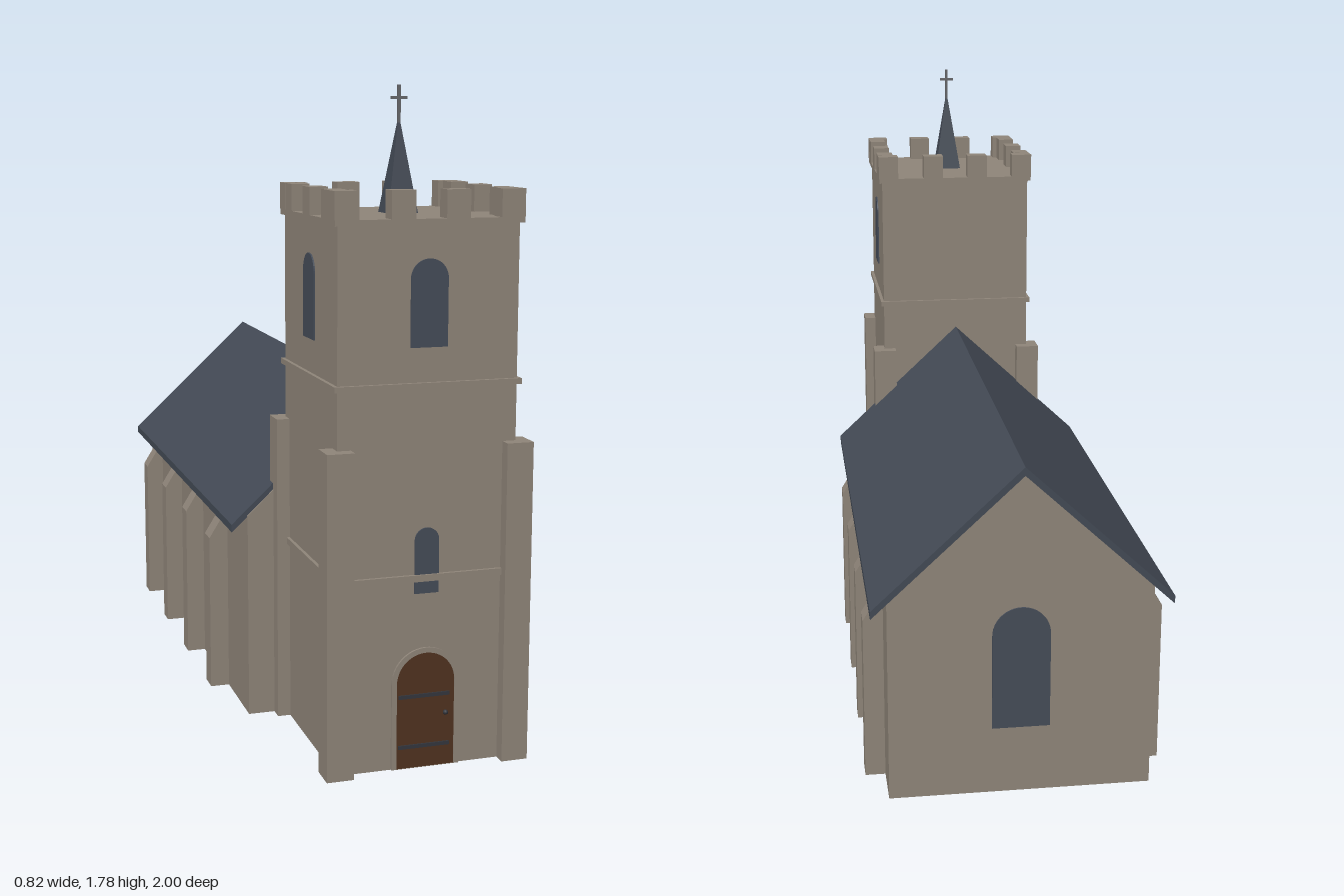
import * as THREE from 'three';

const mat = (name, color, side = THREE.FrontSide) => {
  const m = new THREE.MeshStandardMaterial({ color, side });
  m.name = name;
  return m;
};

export function createModel() {
  const stone = mat('stone', 0x8f8579);
  const slate = mat('slate', 0x434a55);
  const glass = mat('window glass', 0x454c58);
  const wood = mat('door wood', 0x50321f);
  const iron = mat('iron', 0x33363d);
  const crossMetal = mat('cross metal', 0x66676a);

  const church = new THREE.Group();
  church.name = 'church';
  const TZ = 0.7225, TH = 0.243; // tower centre and half width

  const add = (name, geometry, material, parent = church) => {
    const mesh = new THREE.Mesh(geometry, material);
    mesh.name = name;
    parent.add(mesh);
    return mesh;
  };
  // Box given by its minimum and maximum on each axis
  const box = (name, x0, x1, y0, y1, z0, z1, material = stone, parent = church) => {
    const mesh = add(name, new THREE.BoxGeometry(x1 - x0, y1 - y0, z1 - z0), material, parent);
    mesh.position.set((x0 + x1) / 2, (y0 + y1) / 2, (z0 + z1) / 2);
    return mesh;
  };
  const polygon = (points) => new THREE.Shape(points.map(([x, y]) => new THREE.Vector2(x, y)));
  const extrude = (shape, depth) =>
    new THREE.ExtrudeGeometry(shape, { depth, bevelEnabled: false, curveSegments: 12 });
  // Round-headed opening standing on y = y0
  const arch = (half, y0, y1, Type = THREE.Shape) => {
    const s = new Type();
    s.moveTo(-half, y0);
    s.lineTo(half, y0);
    s.lineTo(half, y1 - half);
    s.absarc(0, y1 - half, half, 0, Math.PI, false);
    s.closePath();
    return s;
  };
  // Thin arched plate on a wall; angle turns it to face the wall's direction
  const archPlate = (name, half, y0, y1, x, z, angle, material = glass) => {
    const mesh = add(name, extrude(arch(half, y0, y1), 0.004), material);
    mesh.position.set(x, 0, z);
    mesh.rotation.y = angle;
    return mesh;
  };

  // Nave with gabled ends
  const nave = add('nave', extrude(polygon(
    [[-0.355, 0], [0.355, 0], [0.355, 0.585], [0, 0.918], [-0.355, 0.585]]), 1.44), stone);
  nave.position.z = -0.96;

  // Overhanging pitched roof
  const roof = add('naveRoof', extrude(polygon(
    [[-0.4, 0.54], [0, 0.912], [0.4, 0.54], [0.4, 0.562], [0, 0.935], [-0.4, 0.562]]), 1.475), slate);
  roof.position.z = -1;

  // Nave buttresses with sloping tops, and windows between them
  for (const side of [-1, 1]) {
    for (const z of [0.2, -0.133, -0.465, -0.798]) {
      const b = add('naveButtress', extrude(polygon(
        [[0.34, 0], [0.41, 0], [0.41, 0.46], [0.357, 0.545], [0.34, 0.545]]), 0.062), stone);
      b.rotation.y = side > 0 ? 0 : Math.PI;
      b.position.z = z - side * 0.031;
    }
    for (const z of [0.035, -0.297, -0.63])
      archPlate('naveWindow', 0.045, 0.19, 0.435, side * 0.355, z, side * Math.PI / 2);
  }
  archPlate('gableWindow', 0.078, 0.19, 0.535, 0, -0.96, Math.PI);

  // Tower body, string courses and cornice
  box('towerBody', -TH, TH, 0, 1.44, TZ - TH, TZ + TH);
  const band = (name, y0, y1, out) =>
    box(name, -TH - out, TH + out, y0, y1, TZ - TH - out, TZ + TH + out);
  band('lowerStringCourse', 0.508, 0.526, 0.009);
  band('upperStringCourse', 1.015, 1.03, 0.01);
  band('cornice', 1.43, 1.445, 0.01);

  // Corner buttresses of the tower
  for (const sx of [-1, 1])
    for (const sz of [-1, 1]) {
      const b = box('towerButtress', -0.0365, 0.0365, 0, 0.865, -0.0375, 0.0375);
      b.position.x = sx * 0.243;
      b.position.z = TZ + sz * 0.24;
    }

  // Battlements: four along the front and back, three along each side
  const battlements = new THREE.Group();
  battlements.name = 'battlements';
  church.add(battlements);
  for (const s of [-1, 1]) {
    for (const x of [-0.222, -0.073, 0.073, 0.222])
      box('merlon', x - 0.032, x + 0.032, 1.445, 1.517,
        TZ + s * 0.228 - 0.025, TZ + s * 0.228 + 0.025, stone, battlements);
    for (const z of [-0.169, 0, 0.169])
      box('merlon', s * 0.228 - 0.025, s * 0.228 + 0.025, 1.445, 1.517,
        TZ + z - 0.032, TZ + z + 0.032, stone, battlements);
  }

  // Spire and cross
  const spireGeo = new THREE.ConeGeometry(0.042 * Math.SQRT2, 0.262, 4).rotateY(Math.PI / 4).toNonIndexed();
  spireGeo.computeVertexNormals();
  add('spire', spireGeo, slate).position.set(0, 1.571, TZ);
  box('crossUpright', -0.004, 0.004, 1.68, 1.777, TZ - 0.004, TZ + 0.004, crossMetal);
  box('crossBar', -0.022, 0.022, 1.74, 1.748, TZ - 0.004, TZ + 0.004, crossMetal);

  // Belfry windows on three sides and the small front window
  const front = TZ + TH;
  archPlate('belfryWindow', 0.05, 1.12, 1.345, 0, front, 0);
  for (const s of [-1, 1])
    archPlate('belfryWindow', 0.05, 1.12, 1.345, s * TH, TZ, s * Math.PI / 2);
  archPlate('lowerTowerWindow', 0.033, 0.475, 0.65, 0, front, 0);

  // Door with stone surround, iron straps and handle
  const surround = arch(0.094, 0, 0.328);
  surround.holes.push(arch(0.08, 0.0005, 0.314, THREE.Path));
  add('doorSurround', extrude(surround, 0.006), stone).position.z = front;
  archPlate('door', 0.08, 0, 0.314, 0, front, 0, wood);
  for (const y of [0.06, 0.198])
    box('doorStrap', -0.075, 0.066, y - 0.005, y + 0.005, front, front + 0.008, iron);
  const handle = add('doorHandle', new THREE.SphereGeometry(0.007, 10, 8), iron);
  handle.position.set(0.056, 0.145, front + 0.006);

  return church;
}
